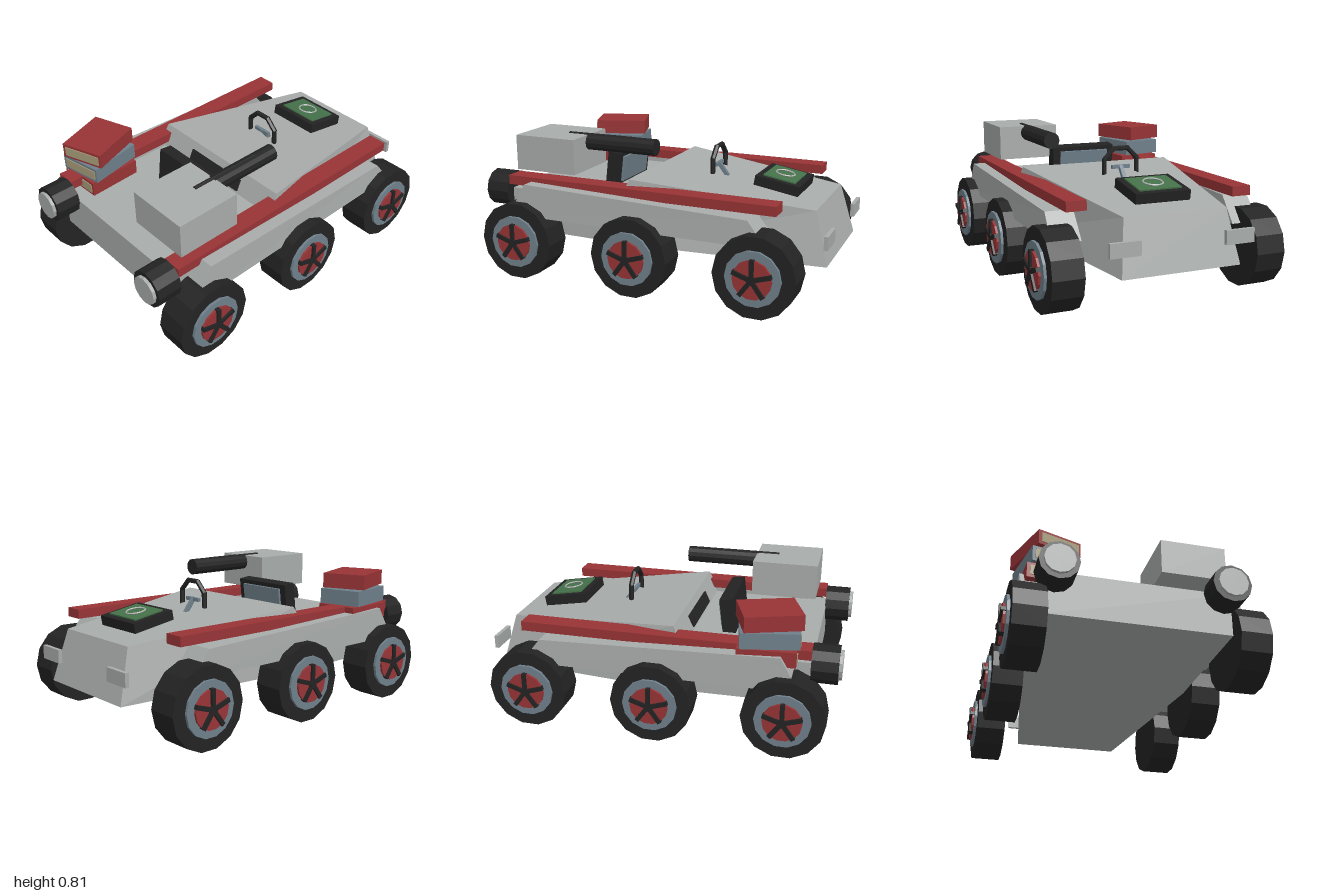
import * as THREE from 'three';

const mat = (name, color) => {
  const m = new THREE.MeshStandardMaterial({ color });
  m.name = name;
  return m;
};

export function createModel() {
  const grey = mat('hull grey', 0xa8acaa);
  const red = mat('red', 0x983436);
  const black = mat('rubber black', 0x232323);
  const steel = mat('blue steel', 0x6f808b);
  const paper = mat('paper beige', 0xa69b78);
  const green = mat('screen green', 0x447149);

  const root = new THREE.Group();
  root.name = 'sixWheeledVehicle';

  // faceted mesh helper
  function add(name, geo, material, pos = [0, 0, 0], rot = [0, 0, 0], parent = root) {
    const g = geo.index ? geo.toNonIndexed() : geo;
    g.computeVertexNormals();
    const m = new THREE.Mesh(g, material);
    m.name = name;
    m.position.set(...pos);
    m.rotation.set(...rot);
    parent.add(m);
    return m;
  }
  const box = (w, h, d) => new THREE.BoxGeometry(w, h, d);
  const cyl = (r, h, n) => new THREE.CylinderGeometry(r, r, h, n);
  const group = (name, x, y, z, parent = root) => {
    const g = new THREE.Group();
    g.name = name;
    g.position.set(x, y, z);
    parent.add(g);
    return g;
  };

  // four-cornered cross-section, counter-clockwise seen from the front
  const ring = (b0, b1, t0, t1, yb, zb, yt, zt) =>
    [[b0, yb, zb], [b1, yb, zb], [t1, yt, zt], [t0, yt, zt]];

  // skin cross-sections from front to back and cap both ends
  function loft(rings) {
    const p = [];
    const quad = (a, b, c, d) => p.push(...a, ...b, ...c, ...a, ...c, ...d);
    for (let k = 0; k < rings.length - 1; k++) {
      const a = rings[k], b = rings[k + 1];
      for (let i = 0; i < 4; i++) {
        const j = (i + 1) % 4;
        quad(a[i], b[i], b[j], a[j]);
      }
    }
    quad(...rings[0]);
    quad(...[...rings[rings.length - 1]].reverse());
    const g = new THREE.BufferGeometry();
    g.setAttribute('position', new THREE.Float32BufferAttribute(p, 3));
    return g;
  }

  // hull: flat front deck, step up, then a tapering rear deck
  const sym = (xb, xt, ...r) => ring(-xb, xb, -xt, xt, ...r);
  add('hull', loft([
    sym(0.49, 0.49, 0.245, 0.845, 0.485, 0.845),
    sym(0.49, 0.49, 0.238, 0.15, 0.485, 0.15),
    sym(0.49, 0.465, 0.236, 0.095, 0.605, 0.095),
    sym(0.333, 0.29, 0.212, -0.985, 0.5, -0.905),
  ]), grey);
  add('deckVent', box(0.41, 0.07, 0.02), black, [0, 0.53, 0.13], [-0.43, 0, 0]);

  for (const s of [-1, 1]) {
    const side = s > 0 ? 'left' : 'right';

    // side pod
    const span = (inner, outer) => (s > 0 ? [inner, outer] : [-outer, -inner]);
    add(side + 'SidePod', loft([
      ring(...span(0.44, 0.607), ...span(0.44, 0.602), 0.36, 0.8, 0.545, 0.69),
      ring(...span(0.44, 0.6), ...span(0.44, 0.594), 0.36, -0.74, 0.5, -0.63),
    ]), grey);

    // rail along the top edge
    add(side + 'Rail', box(0.11, 0.053, 1.6), red, [s * 0.475, 0.543, 0.04]);

    // headlight
    const lamp = group(side + 'Headlight', s * 0.447, 0.472, 0);
    add('lampHousing', cyl(0.105, 0.14, 12), black, [0, 0, 0.912], [Math.PI / 2, 0, 0], lamp);
    add('lampLens', cyl(0.08, 0.06, 12), grey, [0, 0, 0.97], [Math.PI / 2, 0, 0], lamp);

    // tail plate
    add(side + 'TailPlate', box(0.165, 0.075, 0.022), grey, [s * 0.32, 0.365, -0.989]);

    // three wheels on each side
    for (const [place, z] of [['Front', 0.725], ['Middle', 0.015], ['Rear', -0.69]]) {
      const wheel = group(side + place + 'Wheel', 0, 0.223, z);
      const disc = (name, r, x0, x1, n, m) =>
        add(name, cyl(r, x1 - x0, n), m, [s * (x0 + x1) / 2, 0, 0], [0, 0, Math.PI / 2], wheel);
      disc('tyre', 0.223, 0.49, 0.66, 14, black);
      disc('rim', 0.15, 0.64, 0.675, 14, steel);
      disc('hubDisc', 0.105, 0.66, 0.688, 14, red);
      disc('hubCap', 0.025, 0.67, 0.7, 10, black);
      for (let i = 0; i < 5; i++) {
        const a = (i * Math.PI * 2) / 5;
        add('spoke', box(0.025, 0.108, 0.024), black,
          [s * 0.687, 0.054 * Math.cos(a), 0.054 * Math.sin(a)], [a, 0, 0], wheel);
      }
    }
  }

  // stack of books, each with a page block on the front
  const books = [
    ['bottomBook', red, 0.485, 0.57, 0.05],
    ['middleBook', steel, 0.577, 0.665, 0.19],
    ['topBook', red, 0.675, 0.76, 0.34],
  ];
  for (const [name, material, y0, y1, turn] of books) {
    const book = group(name, -0.457, (y0 + y1) / 2, 0.608);
    book.rotation.y = turn;
    add('cover', box(0.252, y1 - y0, 0.312), material, [0, 0, 0], [0, 0, 0], book);
    add('pages', box(0.222, 0.054, 0.008), paper, [0.002, 0, 0.157], [0, 0, 0], book);
  }

  // boxed gun-like tube on the left
  add('equipmentBox', box(0.365, 0.2, 0.375), grey, [0.318, 0.703, 0.608]);
  add('tube', cyl(0.048, 0.43, 12), black, [0.32, 0.762, 0.213], [Math.PI / 2, 0, 0]);
  add('tubeRod', cyl(0.016, 0.42, 8), black, [0.32, 0.795, 0.34], [Math.PI / 2, 0, 0]);

  // monitor facing the rear
  const monitor = group('monitor', 0, 0.58, 0.34);
  monitor.rotation.x = -0.12;
  add('monitorFrame', box(0.4, 0.2, 0.075), black, [0, 0, 0], [0, 0, 0], monitor);
  add('monitorScreen', box(0.31, 0.15, 0.02), steel, [0, 0, -0.042], [0, 0, 0], monitor);

  // steering wheel, open at the bottom, on a short column
  const steering = group('steering', 0, 0.635, -0.252);
  add('steeringRing', new THREE.TorusGeometry(0.108, 0.015, 6, 5, Math.PI * 1.25), black,
    [0, 0, 0], [0, 0, -Math.PI / 8], steering);
  add('steeringCrossbar', box(0.11, 0.02, 0.018), steel, [0, -0.005, 0], [0, 0, 0], steering);
  add('steeringColumn', box(0.022, 0.1, 0.022), steel, [0, -0.037, -0.026], [0.65, 0, 0], steering);

  // tilted display pad on the rear deck
  const pad = group('displayPad', 0, 0.572, -0.645);
  pad.rotation.x = -0.17;
  add('padCase', box(0.315, 0.055, 0.255), black, [0, 0, 0], [0, 0, 0], pad);
  add('padScreen', box(0.245, 0.016, 0.185), green, [0, 0.027, 0], [0, 0, 0], pad);
  add('padRing', new THREE.TorusGeometry(0.053, 0.005, 4, 18), grey,
    [0, 0.039, 0], [Math.PI / 2, 0, 0], pad);

  return root;
}
